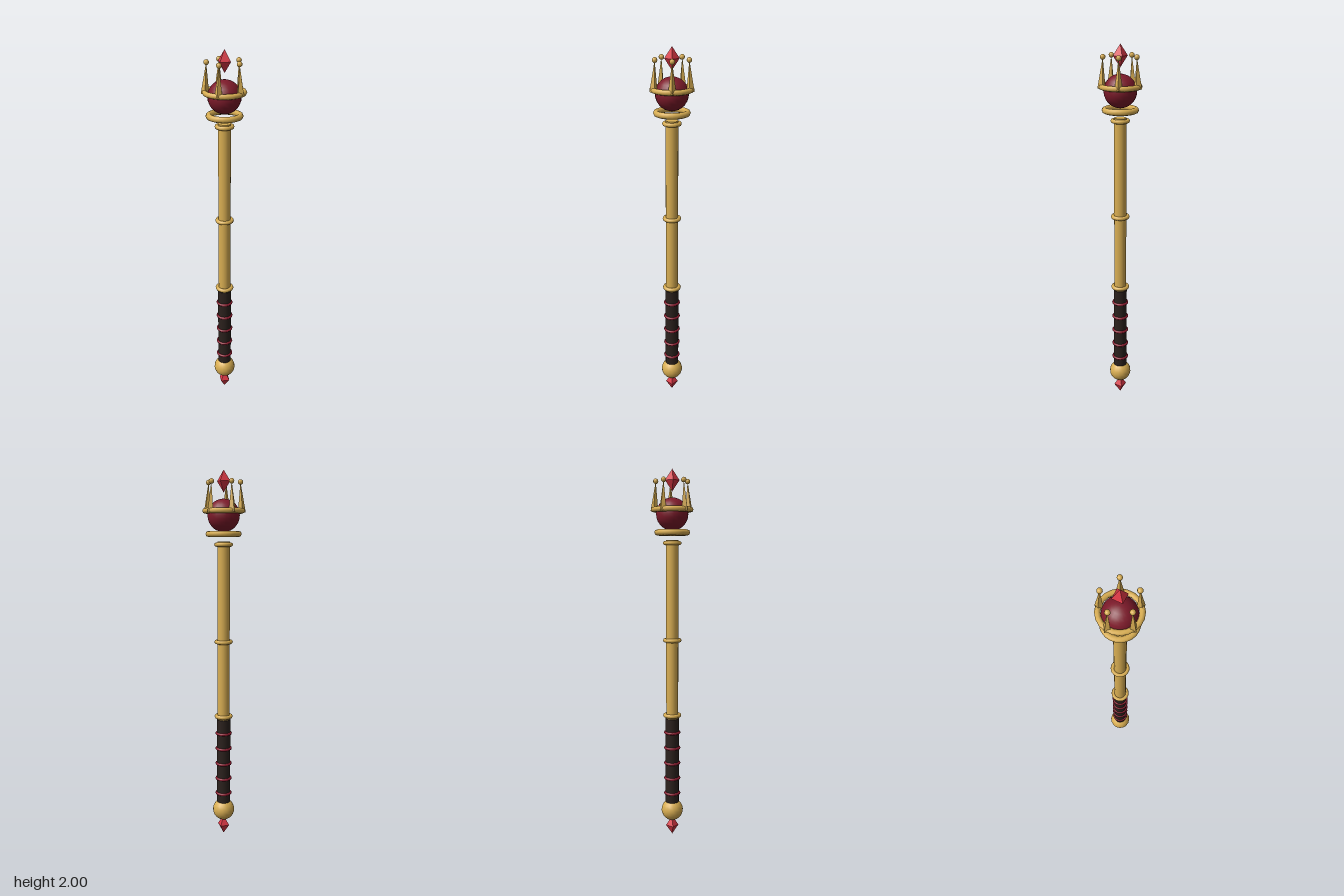
import * as THREE from 'three';

const mat = (color, flatShading = false) => {
  const m = new THREE.MeshStandardMaterial({ flatShading });
  m.color.set(color);
  return m;
};

export function createModel() {
  const root = new THREE.Group();
  root.name = 'scepter';
  const gold = mat(0xd9ae52), goldFlat = mat(0xd9ae52, true);
  const leather = mat(0x2b211d), cord = mat(0x8b1a2e);
  const orbRed = mat(0x7d1a2a), gemRed = mat(0xd93644, true);

  const add = (name, geometry, material, y, parent = root) => {
    const mesh = new THREE.Mesh(geometry, material);
    mesh.name = name;
    mesh.position.y = y;
    parent.add(mesh);
    return mesh;
  };
  const ring = (name, radius, tube, y, material = gold, segments = 24) =>
    add(name, new THREE.TorusGeometry(radius, tube, 8, segments).rotateX(Math.PI / 2), material, y);
  const gem = (name, radius, halfHeight, y) =>
    add(name, new THREE.OctahedronGeometry(1).scale(radius, halfHeight, radius), gemRed, y);

  // Pommel and lower gem
  gem('pommelGem', 0.035, 0.052, 0.052);
  add('pommel', new THREE.SphereGeometry(0.06, 16, 12), gold, 0.145);

  // Wrapped grip
  add('grip', new THREE.CylinderGeometry(0.037, 0.037, 0.49, 16), leather, 0.425);
  for (let i = 0; i < 5; i++) ring('gripCord', 0.038, 0.0075, 0.243 + i * 0.087, cord);

  // Shaft with its bands
  add('shaft', new THREE.CylinderGeometry(0.033, 0.033, 0.965, 16), gold, 1.153);
  for (const y of [0.688, 1.103, 1.62]) ring('shaftBand', 0.039, 0.011, y);

  // Floating collar, orb and crown ring
  ring('collar', 0.079, 0.016, 1.675);
  add('orb', new THREE.SphereGeometry(0.085, 20, 14), orbRed, 1.77);
  ring('crownRing', 0.098, 0.014, 1.793, gold, 20);

  // Five crown spikes leaning slightly inward, each tipped with a bead
  for (let i = 0; i < 5; i++) {
    const spike = new THREE.Group();
    spike.name = 'crownSpike';
    spike.rotation.y = i * Math.PI * 2 / 5;
    const lean = new THREE.Group();
    lean.position.set(0.096, 1.785, 0);
    lean.rotation.z = 0.05;
    add('spike', new THREE.ConeGeometry(0.021, 0.155, 4), goldFlat, 0.0775, lean);
    add('spikeBead', new THREE.SphereGeometry(0.014, 8, 6), gold, 0.154, lean);
    spike.add(lean);
    root.add(spike);
  }

  // Floating gem above the crown
  gem('crownGem', 0.038, 0.057, 1.943);

  root.position.x = -0.003;
  return root;
}
